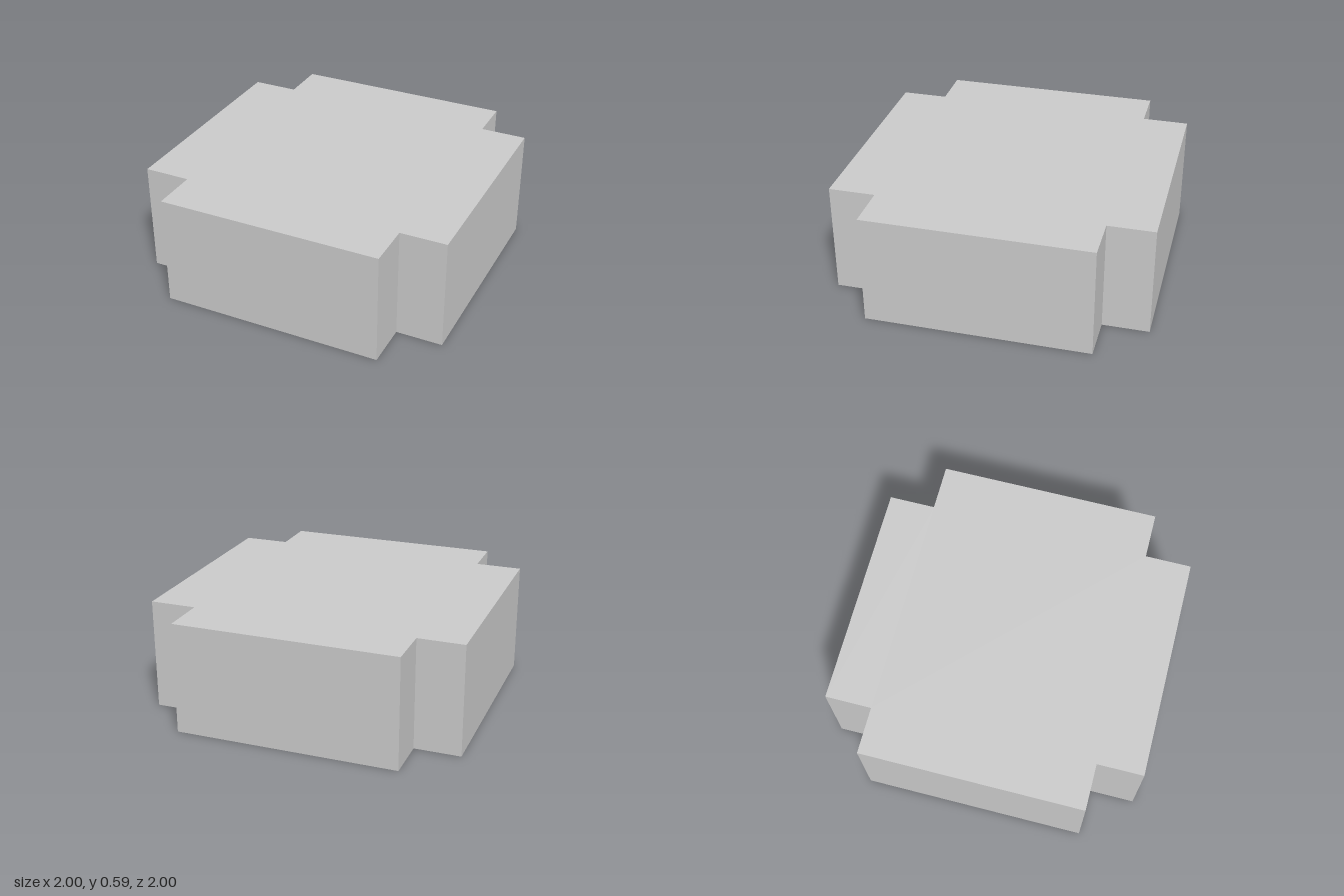
import * as THREE from 'three';

const HEIGHT = 0.586;
const NOTCH = 0.1716; // depth and half width of each corner notch

export function createModel() {
  const group = new THREE.Group();
  group.name = 'notchedBlock';

  // Diamond outline with a right-angled notch at each of its four corners
  const points = [];
  for (let i = 0; i < 4; i++) {
    const pivot = new THREE.Vector2();
    for (const [x, y] of [[1, -NOTCH], [1 - NOTCH, 0], [1, NOTCH]]) {
      points.push(new THREE.Vector2(x, y).rotateAround(pivot, i * Math.PI / 2));
    }
  }

  // Extruded upwards from the ground
  const geometry = new THREE.ExtrudeGeometry(new THREE.Shape(points), {
    depth: HEIGHT,
    bevelEnabled: false,
  });
  geometry.rotateX(-Math.PI / 2);

  const block = new THREE.Mesh(
    geometry,
    new THREE.MeshStandardMaterial({ color: 0xcccccc, flatShading: true })
  );
  block.name = 'crossBlock';
  group.add(block);
  return group;
}
